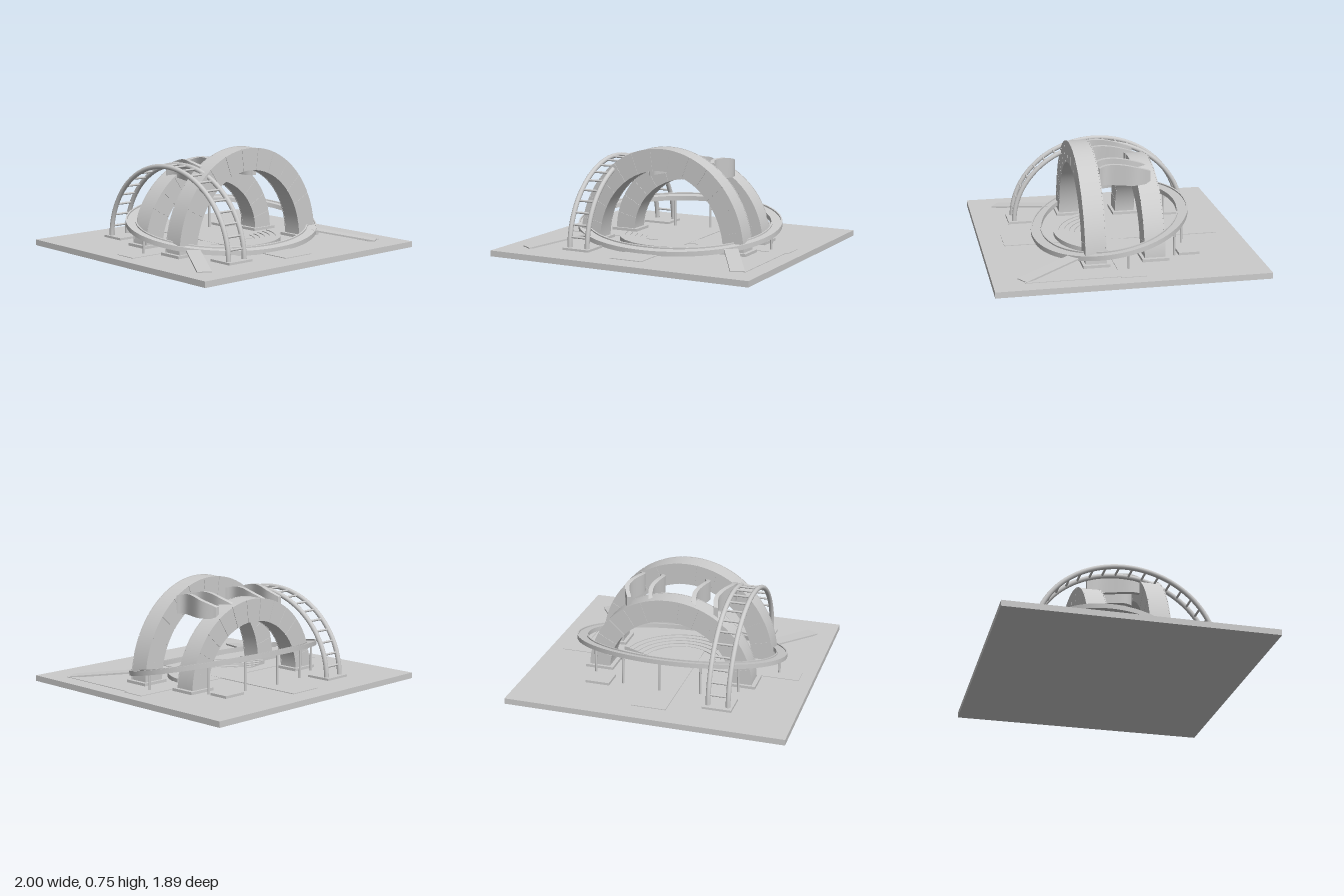
import * as THREE from 'three';
import { toCreasedNormals } from 'three/addons/utils/BufferGeometryUtils.js';

const GROUND = 0.042;

export function createModel() {
  const model = new THREE.Group();
  const mat = new THREE.MeshStandardMaterial({ color: 0xcccccc });

  const add = (name, geometry, parent = model) => {
    const mesh = new THREE.Mesh(geometry, mat);
    mesh.name = name;
    parent.add(mesh);
    return mesh;
  };
  const group = (name) => {
    const g = new THREE.Group();
    g.name = name;
    model.add(g);
    return g;
  };
  // Box given by its limits
  const box = (name, x0, x1, y0, y1, z0, z1, parent) =>
    add(name, new THREE.BoxGeometry(x1 - x0, y1 - y0, z1 - z0), parent)
      .position.set((x0 + x1) / 2, (y0 + y1) / 2, (z0 + z1) / 2);
  const extrude = (shape, depth) => toCreasedNormals(
    new THREE.ExtrudeGeometry(shape, { depth, bevelEnabled: false, curveSegments: 64 }), 0.5);

  // Curved sector between two ellipses
  const sector = (outer, inner, a0, a1, steps) => {
    const pts = [];
    for (let i = 0; i <= steps; i++) {
      const a = a0 + (a1 - a0) * i / steps;
      pts.push(new THREE.Vector2(outer[0] * Math.cos(a), outer[1] * Math.sin(a)));
    }
    for (let i = steps; i >= 0; i--) {
      const a = a0 + (a1 - a0) * i / steps;
      pts.push(new THREE.Vector2(inner[0] * Math.cos(a), inner[1] * Math.sin(a)));
    }
    return new THREE.Shape(pts);
  };

  // Ground slab and thin paving
  box('groundSlab', -1, 1, 0, GROUND, -0.945, 0.945);
  box('longPath', -0.125, 0.125, GROUND, 0.047, -0.785, 0.78);
  box('crossPath', -0.9, 0.9, GROUND, 0.046, -0.09, 0.08);
  box('sidePaving', 0.76, 0.88, GROUND, 0.046, 0.08, 0.73);
  box('backPad', 0.37, 0.545, GROUND, 0.06, -0.55, -0.4);

  // Two big arches with side cladding in separate panels
  const arch = (name, outer, inner, z) => {
    const g = group(name);
    const depth = 0.142;
    add('archBody', extrude(sector(outer, inner, 0, Math.PI, 64), depth), g)
      .position.set(0, GROUND, z - depth / 2);
    const count = 13, gap = 0.008;
    const grow = (r, d) => [r[0] + d, r[1] + d];
    for (let i = 0; i < count; i++) {
      const a0 = Math.PI * i / count + gap / 2;
      const a1 = Math.PI * (i + 1) / count - gap / 2;
      const panel = extrude(sector(grow(outer, 0.002), grow(inner, -0.002), a0, a1, 6), 0.006);
      for (const s of [-1, 1])
        add('archPanel', panel, g).position.set(0, GROUND, z + s * depth / 2 - 0.003);
    }
    for (const s of [-1, 1]) {
      const cx = s * (outer[0] + inner[0]) / 2;
      box('archFooting', cx - 0.105, cx + 0.105, GROUND, 0.062, z - 0.095, z + 0.095, g);
    }
  };
  arch('frontArch', [0.655, 0.703], [0.5, 0.548], 0.21);
  arch('backArch', [0.605, 0.588], [0.455, 0.43], -0.215);

  // Wavy upright fins bridging the arches
  const fins = group('bridgeFins');
  const finPaths = [
    [[-0.325, -0.24], [-0.305, -0.13], [-0.365, 0.06], [-0.355, 0.17]],
    [[-0.165, -0.24], [-0.14, -0.12], [-0.18, 0.06], [-0.155, 0.13]],
    [[0.155, -0.24], [0.185, -0.12], [0.16, 0.06], [0.185, 0.13]],
    [[0.315, -0.24], [0.365, -0.12], [0.315, 0.06], [0.34, 0.13]],
  ];
  for (const path of finPaths) {
    const curve = new THREE.SplineCurve(path.map(p => new THREE.Vector2(...p)));
    const geo = new THREE.BoxGeometry(0.032, 1, 1, 1, 1, 24);
    const pos = geo.attributes.position;
    for (let i = 0; i < pos.count; i++) {
      const p = curve.getPoint(pos.getZ(i) + 0.5);
      const top = 0.668 - 1.1 * p.y * p.y;
      pos.setXYZ(i, p.x + pos.getX(i), pos.getY(i) > 0 ? top : 0.52, p.y);
    }
    add('fin', toCreasedNormals(geo, 0.6), fins);
  }

  // Tilted elliptical walkway with raised edges, on posts
  const walk = group('ringWalkway');
  const deckY = (z) => 0.168 - 0.205 * z;
  const band = (name, rx, rz, width, low, high) => {
    const shape = new THREE.Shape().absellipse(0, 0, rx, rz, 0, Math.PI * 2);
    shape.holes.push(new THREE.Path().absellipse(0, 0, rx - width, rz - width, 0, Math.PI * 2, true));
    const geo = new THREE.ExtrudeGeometry(shape, { depth: high - low, bevelEnabled: false, curveSegments: 96 });
    geo.rotateX(-Math.PI / 2);
    const pos = geo.attributes.position;
    for (let i = 0; i < pos.count; i++)
      pos.setY(i, pos.getY(i) + low + deckY(pos.getZ(i)));
    add(name, toCreasedNormals(geo, 0.5), walk);
  };
  band('walkwayDeck', 0.785, 0.562, 0.08, -0.014, 0.01);
  band('outerEdge', 0.785, 0.562, 0.01, 0.008, 0.02);
  band('innerEdge', 0.715, 0.492, 0.01, 0.008, 0.02);
  const post = (x, z) => {
    const h = deckY(z) - 0.012 - GROUND;
    add('walkwayPost', new THREE.CylinderGeometry(0.009, 0.009, h, 12), walk)
      .position.set(x, GROUND + h / 2, z);
  };
  post(0, -0.52);
  for (const s of [-1, 1]) {
    post(s * 0.285, -0.48);
    post(s * 0.53, -0.37);
    post(s * 0.74, 0);
  }

  // Entry ramps sloping from the walkway to the front corners
  for (const s of [-1, 1]) {
    const start = new THREE.Vector3(s * 0.585, 0.1, 0.34);
    const end = new THREE.Vector3(s * 0.83, 0.043, 0.745);
    const ramp = add('entryRamp', new THREE.BoxGeometry(0.098, 0.012, start.distanceTo(end)));
    ramp.position.copy(start).lerp(end, 0.5);
    ramp.lookAt(end);
  }

  // Arched climbing ladder
  const ladder = group('ladderArch');
  const railX = [-0.53, -0.387];
  const railPoint = (x, a) => new THREE.Vector3(x, GROUND + 0.59 * Math.sin(a), 0.645 * Math.cos(a));
  for (const x of railX) {
    const pts = [];
    for (let i = 0; i <= 24; i++) pts.push(railPoint(x, Math.PI * i / 24));
    add('ladderRail', new THREE.TubeGeometry(new THREE.CatmullRomCurve3(pts), 72, 0.0175, 12), ladder);
  }
  const rung = new THREE.CylinderGeometry(0.008, 0.008, railX[1] - railX[0], 10).rotateZ(Math.PI / 2);
  for (let i = 1; i < 21; i++)
    add('ladderRung', rung, ladder).position.copy(railPoint((railX[0] + railX[1]) / 2, Math.PI * i / 21));
  for (const s of [-1, 1])
    box('ladderFooting', -0.563, -0.353, GROUND, 0.058, s * 0.595 - 0.095, s * 0.595 + 0.095, ladder);

  // Curved seating steps rising towards the front
  const steps = group('seatingSteps');
  for (let i = 0; i < 5; i++) {
    const inner = 0.27 + i * 0.038;
    const shape = sector([inner + 0.038, inner + 0.038], [inner, inner], Math.PI * 0.06, Math.PI * 0.94, 40);
    const step = add('step', extrude(shape, 0.008 + i * 0.006), steps);
    step.rotation.x = Math.PI / 2;
    step.position.set(0, GROUND + 0.008 + i * 0.006, -0.06);
  }
  return model;
}
